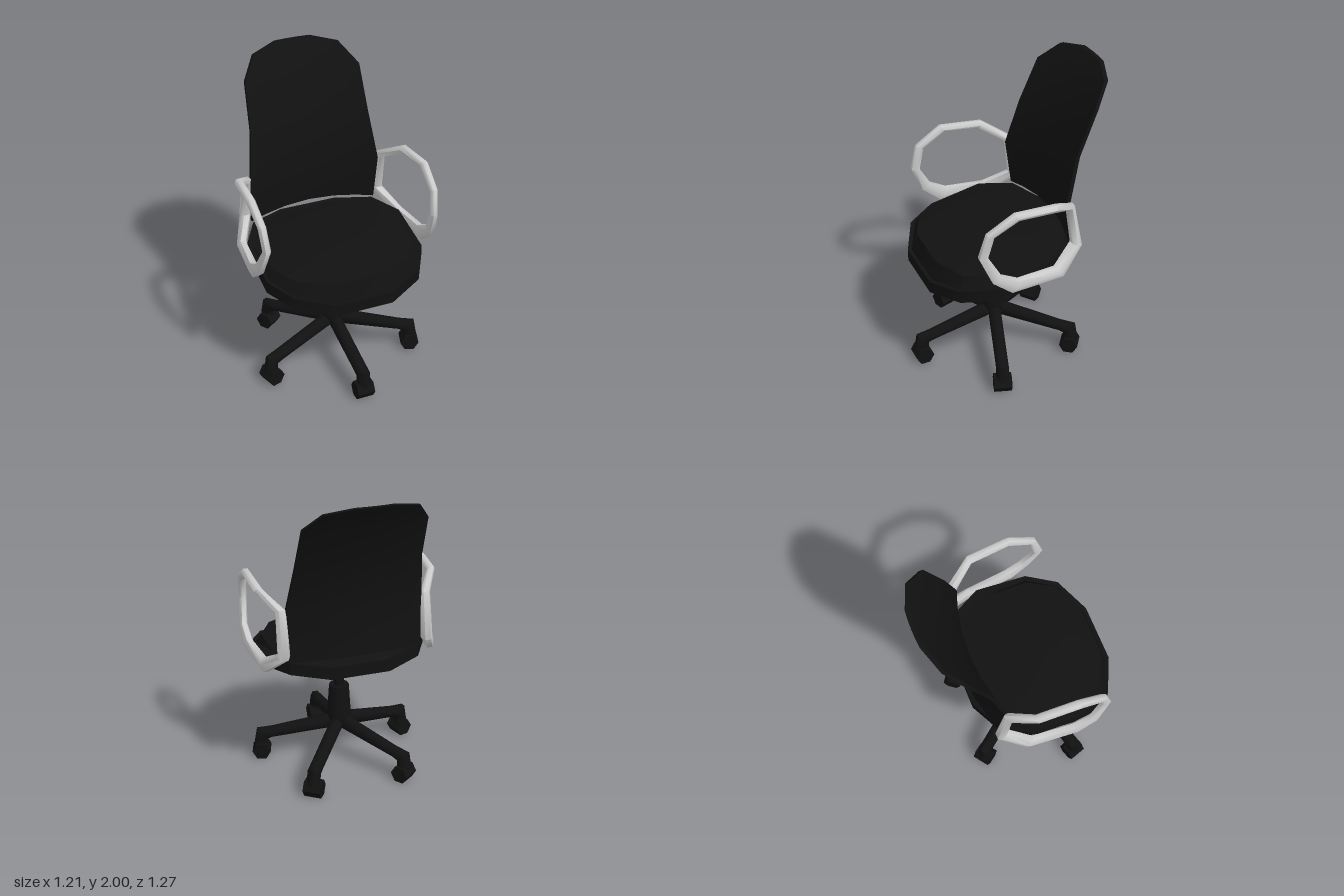
import * as THREE from 'three';
import { toCreasedNormals } from 'three/addons/utils/BufferGeometryUtils.js';

const black = new THREE.MeshStandardMaterial({ color: 0x111111 });
const grey = new THREE.MeshStandardMaterial({ color: 0xcccccc });

// Skin a list of equal-length rings of [x, y, z]; closed joins last ring to first.
function loft(rings, closed = false, crease = 0.6) {
  const n = rings[0].length;
  const index = [];
  const count = closed ? rings.length : rings.length - 1;
  for (let i = 0; i < count; i++) {
    const k = (i + 1) % rings.length;
    for (let j = 0; j < n; j++) {
      const m = (j + 1) % n;
      index.push(i * n + j, i * n + m, k * n + m, i * n + j, k * n + m, k * n + j);
    }
  }
  const g = new THREE.BufferGeometry();
  g.setAttribute('position', new THREE.Float32BufferAttribute(rings.flat(2), 3));
  g.setIndex(index);
  return toCreasedNormals(g, crease);
}

function add(parent, name, geometry, material) {
  const mesh = new THREE.Mesh(geometry, material);
  mesh.name = name;
  parent.add(mesh);
  return mesh;
}

const around = (n, fn) => Array.from({ length: n }, (_, i) => fn((i / n) * Math.PI * 2));

// Seat: faceted oval shell, dished at the sides and rising to the back, with a cushion.
function seatGeometry() {
  const half = [[0.19, 0.57], [0.42, 0.46], [0.53, 0.27], [0.53, -0.08], [0.42, -0.28], [0.19, -0.39]];
  const outline = [...half, ...half.map(([x, z]) => [-x, z]).reverse()];
  const zMid = 0.09;
  const under = (x, z) => 0.67 + 0.3 * x * x + 0.23 * Math.max(0, 0.22 - z);
  const ring = (s, height) => outline.map(([x, z]) => {
    const px = x * s, pz = zMid + (z - zMid) * s;
    return [px, height(px, pz), pz];
  });
  const rim = (x, z) => under(x, z) + 0.08;
  return loft([
    ring(0, under), ring(0.55, under), ring(1, under),
    ring(1, rim), ring(0.95, rim),
    ring(0.88, (x, z) => 0.88 + 0.06 * Math.max(0, 0.3 - z)),
    ring(0.5, () => 0.925), ring(0, () => 0.92),
  ]);
}

// Backrest: thin shell bowed around the sitter, rows of [y, half width, rear z].
function backGeometry() {
  const rows = [[0.955, 0.43, -0.38], [1.24, 0.44, -0.345], [1.55, 0.4, -0.41],
    [1.84, 0.385, -0.525], [1.96, 0.29, -0.605], [2.0, 0.12, -0.635]];
  const cols = [1, 0.75, 0.4, 0, -0.4, -0.75, -1];
  const row = ([y, w, z], i, thick) => {
    const point = (u, side) => {
      const x = u * w;
      const drop = i === 0 ? 0.025 * u * u : 0;
      return [x, y - drop, z + 0.44 * x * x + 0.0125 + side * thick];
    };
    return [...cols.map((u) => point(u, -1)), ...cols.map((u) => point(-u, 1))];
  };
  const rings = rows.map((r, i) => row(r, i, 0.0125));
  // close the bottom and top edges
  rings.unshift(row(rows[0], 0, 0));
  rings.push(row(rows[5], 5, 0));
  return loft(rings);
}

// Armrest: closed loop of [x, y, z, half width, half thickness].
function armGeometry(side) {
  const path = [
    [0.575, 1.365, 0.16, 0.03, 0.026], [0.56, 1.345, -0.1, 0.03, 0.026],
    [0.465, 1.26, -0.25, 0.035, 0.026], [0.465, 0.98, -0.3, 0.04, 0.035],
    [0.545, 0.865, -0.145, 0.035, 0.046], [0.572, 0.87, 0.165, 0.035, 0.046],
    [0.575, 0.955, 0.285, 0.03, 0.035], [0.553, 1.12, 0.365, 0.027, 0.028],
    [0.565, 1.27, 0.325, 0.027, 0.026]];
  return loft(path.map(([x, y, z, w, t]) => {
    const out = new THREE.Vector2(z - 0.03, y - 1.1).normalize();
    return around(6, (a) => {
      const r = Math.sin(a) * t * 1.15;
      return [side * x - Math.cos(a) * w, y + out.y * r, z + out.x * r];
    });
  }), true, 1.1);
}

// Base leg pointing to +z: stations of [distance, y, tilt, half height].
function legGeometry() {
  const stations = [[0, 0.28, 0, 0.05], [0.45, 0.18, 0.1, 0.035],
    [0.515, 0.165, 0.8, 0.05], [0.525, 0.09, Math.PI / 2, 0.045]];
  return loft(stations.map(([d, y, tilt, h]) => around(8, (a0) => {
    const a = a0 + Math.PI / 8;
    const up = Math.sin(a) * h * 1.08;
    return [Math.cos(a) * 0.043, y + Math.cos(tilt) * up, d + Math.sin(tilt) * up];
  })), false, 0.9);
}

export function createModel() {
  const model = new THREE.Group();
  model.name = 'officeChair';

  add(model, 'seat', seatGeometry(), black);
  add(model, 'backrest', backGeometry(), black);
  add(model, 'leftArmrest', armGeometry(1), grey);
  add(model, 'rightArmrest', armGeometry(-1), grey);

  // Swivel base with gas column
  const base = new THREE.Group();
  base.name = 'swivelBase';
  base.position.z = 0.05;
  model.add(base);
  add(base, 'gasRod', new THREE.CylinderGeometry(0.033, 0.033, 0.2, 10), black).position.y = 0.62;
  add(base, 'columnSleeve', new THREE.CylinderGeometry(0.065, 0.08, 0.23, 10), black).position.y = 0.425;
  add(base, 'hub', new THREE.CylinderGeometry(0.08, 0.05, 0.08, 10), black).position.y = 0.27;

  // Five legs, each ending in a hexagonal caster
  const leg = legGeometry();
  const wheel = new THREE.CylinderGeometry(0.061, 0.061, 0.115, 6).toNonIndexed();
  wheel.rotateZ(Math.PI / 2);
  wheel.computeBoundingBox();
  // lay a flat face on the floor
  if (wheel.boundingBox.max.y > 0.06) wheel.rotateX(Math.PI / 6);
  wheel.computeVertexNormals();
  for (let i = 0; i < 5; i++) {
    const arm = new THREE.Group();
    arm.name = 'legWithCaster' + (i + 1);
    arm.rotation.y = (i * Math.PI * 2) / 5;
    add(arm, 'leg', leg, black);
    add(arm, 'caster', wheel, black).position.set(0, 0.053, 0.52);
    base.add(arm);
  }
  return model;
}
